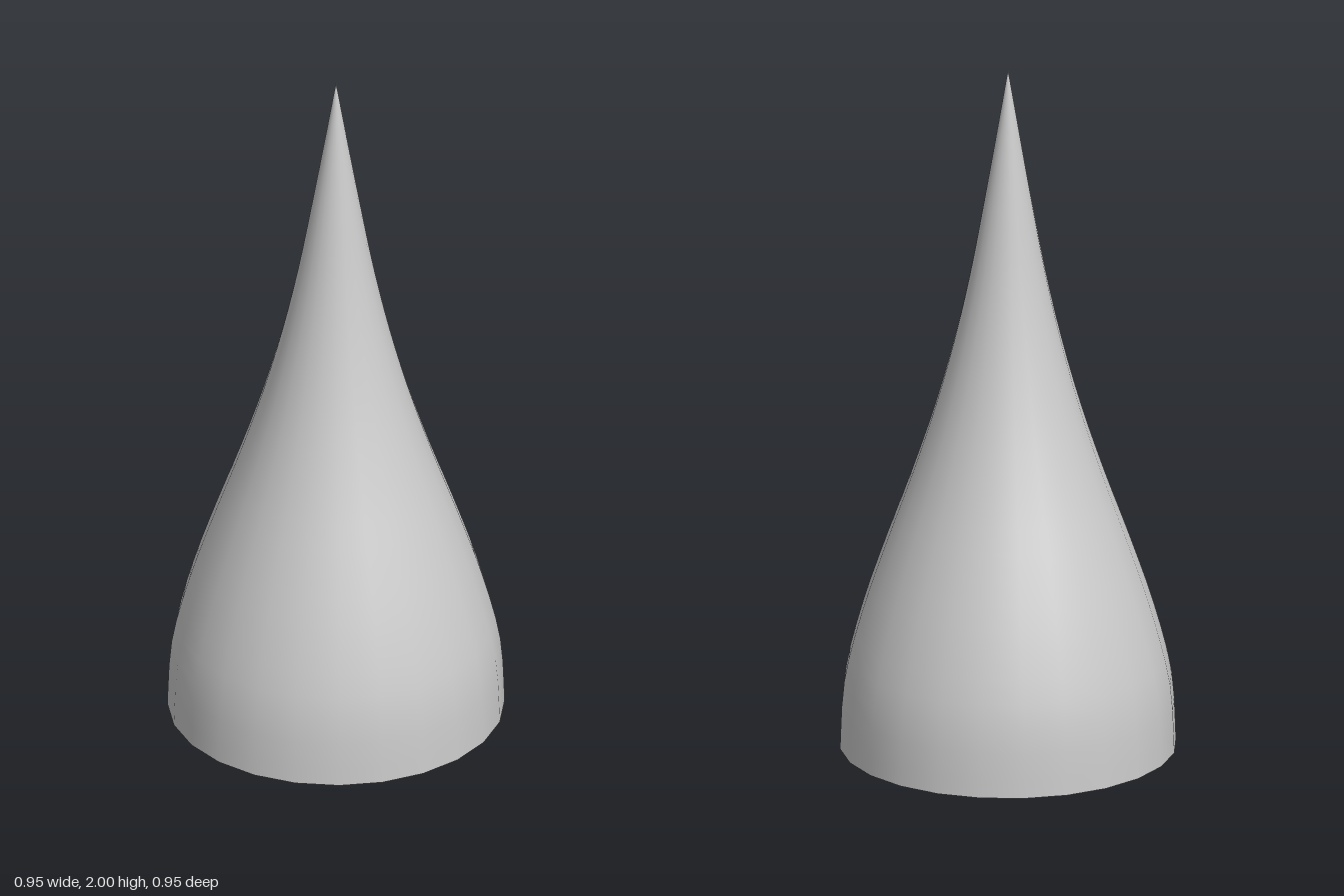
import * as THREE from 'three';

export function createModel() {
  const group = new THREE.Group();
  group.name = 'spike';

  // Outline from the open rim up to the tip: [radius, height]
  const outline = [
    [0.473, 0], [0.461, 0.2], [0.412, 0.4], [0.345, 0.6], [0.272, 0.8], [0.206, 1],
    [0.151, 1.2], [0.106, 1.4], [0.069, 1.6], [0.034, 1.8], [0, 2],
  ].map(([r, y]) => new THREE.Vector2(r, y));
  const profile = new THREE.SplineCurve(outline).getPoints(30);
  profile[profile.length - 1].set(0, 2);

  // Hollow pointed shell, open at the base
  const shell = new THREE.Mesh(
    new THREE.LatheGeometry(profile, 24),
    new THREE.MeshStandardMaterial({ color: 0xcccccc, side: THREE.DoubleSide }),
  );
  shell.name = 'spikeShell';
  group.add(shell);
  return group;
}
